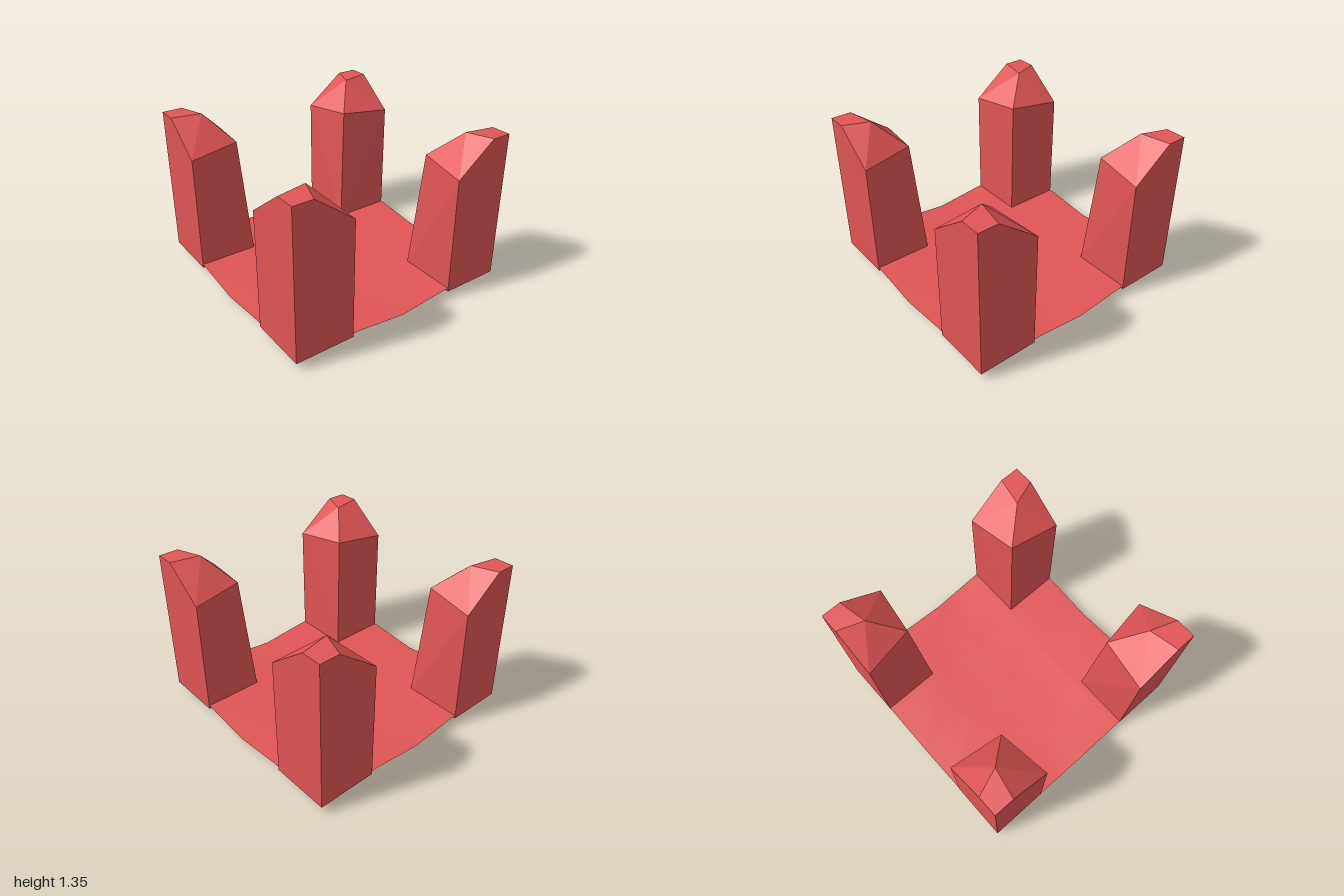
import * as THREE from 'three';
import { ConvexGeometry } from 'three/addons/geometries/ConvexGeometry.js';

const red = new THREE.MeshStandardMaterial({ color: 0xe05555 });
const redSheet = new THREE.MeshStandardMaterial({ color: 0xe05555, side: THREE.DoubleSide });

// One corner tower: square shaft, leaning inner edge, chamfered top
function createTower(sx, sz) {
  const corners = [
    [0.49, 0.067, 0.49], [1, 0.067, 0.49], [0.49, 0.067, 1], [1, 0.067, 1], // base
    [0.49, 1.09, 1], [0.555, 1.125, 0.56], [1, 1.09, 0.49],                 // shoulder
    [0.83, 1.35, 1], [0.78, 1.35, 0.75], [1, 1.35, 0.83], [1, 1.35, 1],     // cap
  ];
  const points = corners.map(([x, y, z]) => new THREE.Vector3(x * sx, y, z * sz));
  return new THREE.Mesh(new ConvexGeometry(points), red);
}

// Shallow dished floor: height rises from the middle along both axes
function createFloor() {
  const stops = [-1, -0.44, 0, 0.44, 1];
  const rise = [0.05, 0.048, 0, 0.048, 0.05];
  const geometry = new THREE.PlaneGeometry(2, 2, 4, 4).rotateX(-Math.PI / 2);
  const position = geometry.attributes.position;
  for (let i = 0; i < position.count; i++) {
    const col = i % 5, row = Math.floor(i / 5);
    position.setXYZ(i, stops[col], rise[col] + rise[row], stops[row]);
  }
  geometry.computeVertexNormals();
  return new THREE.Mesh(geometry, redSheet);
}

export function createModel() {
  const model = new THREE.Group();
  model.name = 'towerPlatform';

  const floor = createFloor();
  floor.name = 'floor';
  model.add(floor);

  for (const sx of [-1, 1]) {
    for (const sz of [-1, 1]) {
      const tower = createTower(sx, sz);
      tower.name = (sz > 0 ? 'front' : 'back') + (sx > 0 ? 'Left' : 'Right') + 'Tower';
      model.add(tower);
    }
  }
  return model;
}
